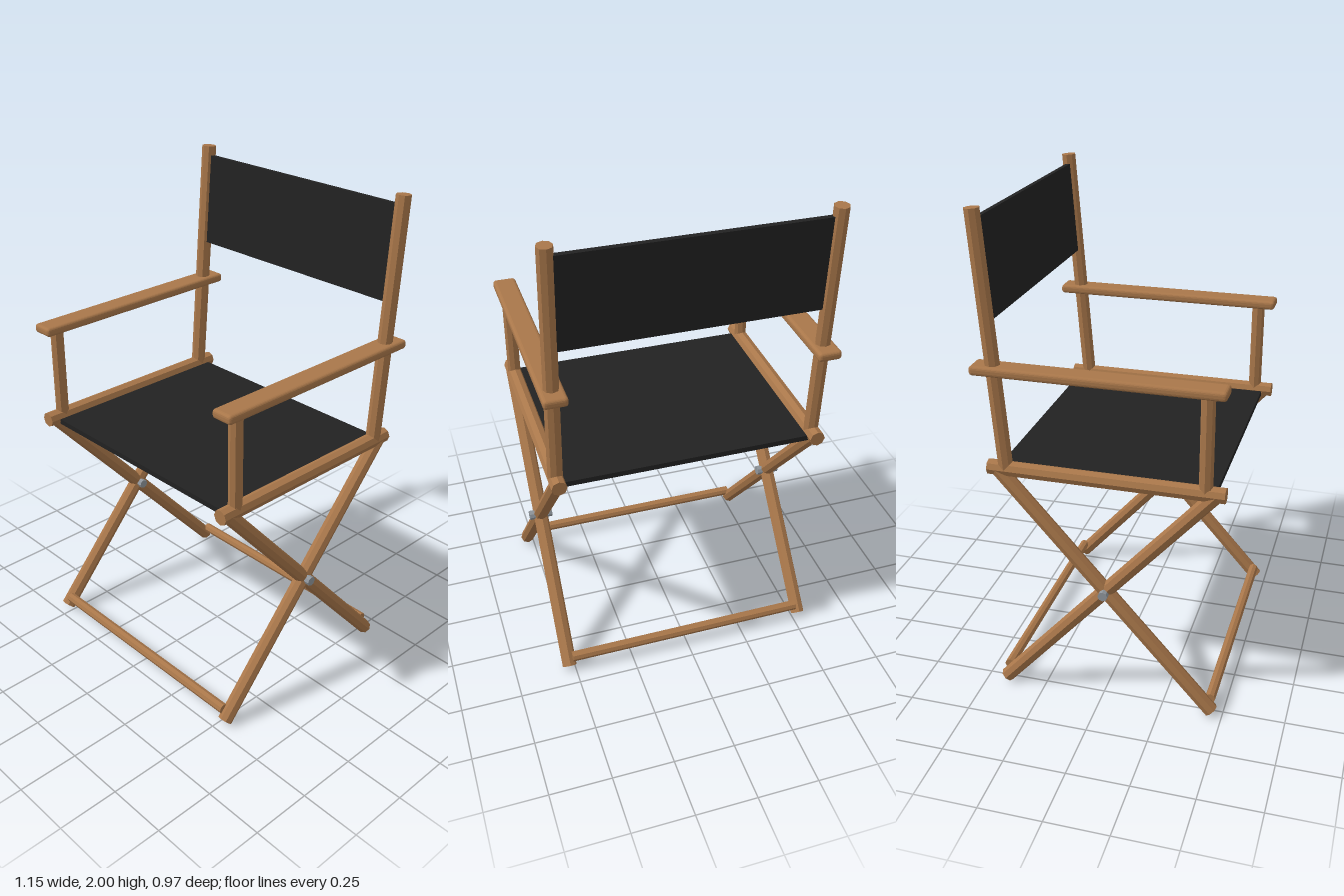
import * as THREE from 'three';
import { RoundedBoxGeometry } from 'three/addons/geometries/RoundedBoxGeometry.js';

const wood = new THREE.MeshStandardMaterial({ color: 0xa9774a, flatShading: true });
wood.name = 'wood';
const canvas = new THREE.MeshStandardMaterial({ color: 0x222222 });
canvas.name = 'black canvas';
const metal = new THREE.MeshStandardMaterial({ color: 0x8f959b, flatShading: true });
metal.name = 'bolt metal';

const UP = new THREE.Vector3(0, 1, 0);

export function createModel() {
  const model = new THREE.Group();
  model.name = 'foldingChair';

  function add(name, geometry, material, x, y, z) {
    const mesh = new THREE.Mesh(geometry, material);
    mesh.name = name;
    mesh.position.set(x, y, z);
    model.add(mesh);
    return mesh;
  }

  // Octagonal rod between two points
  function rod(name, a, b, radius, material = wood) {
    const start = new THREE.Vector3(...a);
    const span = new THREE.Vector3(...b).sub(start);
    const mid = start.clone().addScaledVector(span, 0.5);
    const mesh = add(name, new THREE.CylinderGeometry(radius, radius, span.length(), 8), material, mid.x, mid.y, mid.z);
    mesh.quaternion.setFromUnitVectors(UP, span.normalize());
  }

  // Side frames, mirrored
  const pivotY = 0.513, pivotZ = 0.02, slope = 0.887;
  const legZ = (y) => (pivotY - y) * slope;
  for (const [side, s] of [['left', 1], ['right', -1]]) {
    const x = s * 0.525;
    rod(side + 'SeatRail', [x, 0.998, -0.443], [x, 0.998, 0.484], 0.031);
    rod(side + 'BackPost', [x, 1, -0.373], [x, 1.998, -0.449], 0.03);
    rod(side + 'ArmPost', [x, 1, 0.408], [x, 1.395, 0.408], 0.027);
    add(side + 'Armrest', new RoundedBoxGeometry(0.094, 0.037, 0.966, 2, 0.013), wood, x, 1.402, -0.001);

    // Crossed legs and their pivot bolt
    for (const [name, d] of [['LegToFront', 1], ['LegToBack', -1]]) {
      rod(side + name, [x, 0.022, pivotZ + d * legZ(0.022)], [x, 0.995, pivotZ + d * legZ(0.995)], 0.03);
    }
    rod(side + 'PivotBolt', [x - 0.048, pivotY, pivotZ], [x + 0.048, pivotY, pivotZ], 0.02, metal);
  }

  // Floor stretchers
  rod('frontStretcher', [-0.51, 0.066, 0.447], [0.51, 0.066, 0.447], 0.021);
  rod('backStretcher', [-0.51, 0.066, -0.411], [0.51, 0.066, -0.411], 0.021);

  // Canvas seat and leaning back panel
  add('seat', new THREE.BoxGeometry(1.0, 0.022, 0.85), canvas, 0, 0.986, 0.017);
  const back = add('backPanel', new THREE.BoxGeometry(1.0, 0.38, 0.02), canvas, 0, 1.77, -0.4315);
  back.rotation.x = -Math.atan(0.076);

  return model;
}
